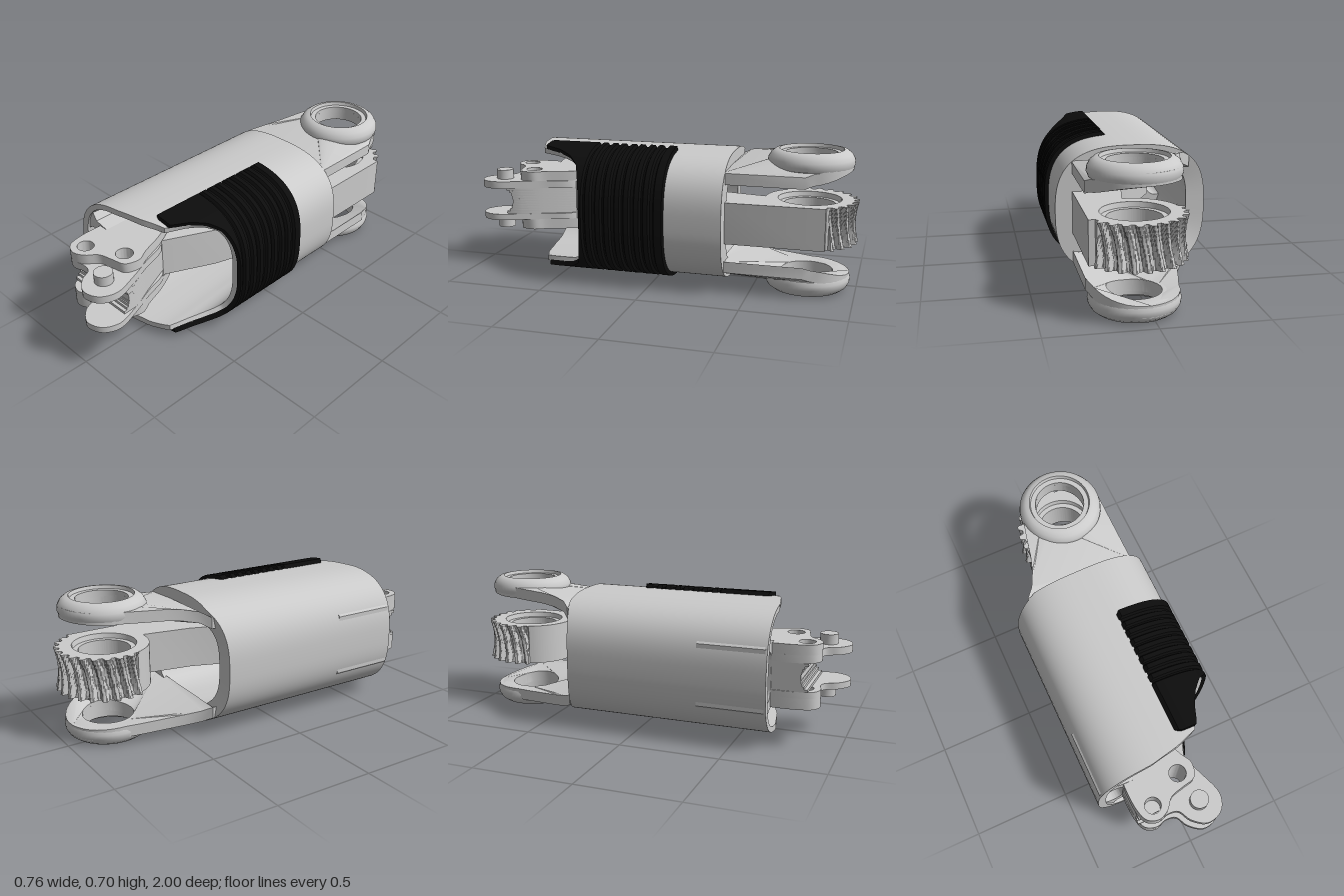
import * as THREE from 'three';
import { toCreasedNormals } from 'three/addons/utils/BufferGeometryUtils.js';

const CX = -0.01, CY = 0.352, A = 0.372, B = 0.317, N = 2.8; // shell cross-section
const HX = 0.06, HZ = -0.76, BORE = 0.125;                   // rear hinge axis
const grey = new THREE.MeshStandardMaterial({ color: 0xcccccc, side: THREE.DoubleSide });
const black = new THREE.MeshStandardMaterial({ color: 0x0c0c0c, side: THREE.DoubleSide });

function mesh(name, geometry, material = grey, crease = 0.6) {
  const m = new THREE.Mesh(toCreasedNormals(geometry, crease), material);
  m.name = name;
  return m;
}

// piecewise linear lookup
function lookup(table, x) {
  if (x <= table[0][0]) return table[0][1];
  for (let i = 1; i < table.length; i++) {
    const [x0, y0] = table[i - 1], [x1, y1] = table[i];
    if (x <= x1) return y0 + (y1 - y0) * (x - x0) / (x1 - x0);
  }
  return table[table.length - 1][1];
}

// skin over rows of [x, y, z] points
function skin(rows, closeU, closeV) {
  const nu = rows.length, nv = rows[0].length, index = [];
  for (let u = 0; u < nu - (closeU ? 0 : 1); u++)
    for (let v = 0; v < nv - (closeV ? 0 : 1); v++) {
      const u1 = (u + 1) % nu, v1 = (v + 1) % nv;
      const a = u * nv + v, b = u1 * nv + v, c = u1 * nv + v1, d = u * nv + v1;
      index.push(a, b, c, a, c, d);
    }
  const g = new THREE.BufferGeometry();
  g.setAttribute('position', new THREE.Float32BufferAttribute(rows.flat(2), 3));
  g.setIndex(index);
  return g;
}

// upright slab from an outline of (x, z) points, with round holes [x, z, r]
function slab(points, y0, y1, holes = []) {
  const shape = new THREE.Shape(points.map(p => new THREE.Vector2(p[0], p[1])));
  for (const [x, z, r] of holes) shape.holes.push(new THREE.Path().absarc(x, z, r, 0, Math.PI * 2, true));
  const g = new THREE.ExtrudeGeometry(shape, { depth: y1 - y0, bevelEnabled: false, curveSegments: 20 });
  return g.rotateX(Math.PI / 2).translate(0, y1, 0);
}

function smooth(points, n = 60) {
  return new THREE.CatmullRomCurve3(points.map(p => new THREE.Vector3(p[0], 0, p[1])), true, 'centripetal')
    .getPoints(n).slice(0, -1).map(p => [p.x, p.z]);
}

function oval(t, cx, a, b, n) {
  const c = Math.cos(t), s = Math.sin(t), e = 2 / n;
  return [cx + a * Math.sign(c) * Math.abs(c) ** e, CY + b * Math.sign(s) * Math.abs(s) ** e];
}

const frontEdge = x => lookup([[-0.39, 0.68], [-0.1, 0.67], [0.05, 0.64], [0.16, 0.6],
  [0.2, 0.49], [0.24, 0.42], [0.29, 0.365], [0.36, 0.33]], x);
const backEdge = x => lookup([[-0.385, -0.33], [-0.25, -0.375], [0.36, -0.38]], x);

// hollow sleeve whose bore narrows towards the back
function sleeve() {
  const rows = [], steps = 8;
  for (let i = 0; i < 112; i++) {
    const t = i / 112 * Math.PI * 2, row = [];
    const [x, y] = oval(t, CX, A, B, N), z0 = backEdge(x), z1 = frontEdge(x);
    for (let k = 0; k <= steps; k++) row.push([x, y, z0 + (z1 - z0) * k / steps]);
    for (let k = steps; k >= 0; k--) {
      const f = k / steps, right = 0.24 + 0.08 * f, left = -0.29 - 0.05 * f;
      const [ix, iy] = oval(t, (right + left) / 2, (right - left) / 2, 0.236 + 0.05 * f, 3.2);
      row.push([ix, iy, z0 + (z1 - z0) * f]);
    }
    rows.push(row);
  }
  return skin(rows, true, true);
}

// ribbed pad wrapped round the +x side
function gripPad() {
  const rows = [], cols = 80, steps = 90, t0 = 1.47;
  for (let i = 0; i <= cols; i++) {
    const t = -t0 + 2 * t0 * i / cols, row = [];
    const edge = i === 0 || i === cols, [x] = oval(t, CX, A, B, N);
    const d = Math.min(0.06, Math.max(0, x - 0.05));
    const cut = 0.06 - Math.sqrt(0.0036 - (0.06 - d) ** 2);
    const z1 = Math.min(0.585, frontEdge(x) + 0.004) - cut, z0 = -0.1 + cut;
    for (let k = 0; k <= steps; k++) {
      const z = Math.min(z1, Math.max(z0, -0.1 + 0.69 * k / steps));
      const groove = z > -0.06 && z < 0.34 && ((z + 1) / 0.05) % 1 < 0.4;
      const o = edge || k === 0 || k === steps ? -0.006 : groove ? 0.006 : 0.019;
      const [px, py] = oval(t, CX, A + o, B + o, N);
      row.push([px, py, z]);
    }
    rows.push(row);
  }
  return skin(rows, false, false);
}

// throated worm wheel, toothed on its free side only
function wormWheel() {
  const rows = [], n = 288, y0 = 0.25, y1 = 0.455;
  for (let i = 0; i < n; i++) {
    const t = i / n * Math.PI * 2, row = [];
    const toothed = t > 0.55 && t < 3.5;
    const put = (r, y) => row.push([HX + r * Math.cos(t), y, HZ - r * Math.sin(t)]);
    for (let k = 0; k <= 10; k++) {
      const s = k / 5 - 1;
      let r = 0.215;
      if (toothed) {
        const wave = Math.cos(24 * (t + 0.09 * s + 0.02 * s * s));
        r = 0.24 - 0.016 * (1 - s * s) - 0.026 * Math.min(1, Math.max(0, 0.5 - 0.9 * wave));
      }
      put(r, y0 + (y1 - y0) * k / 10);
    }
    for (const [r, y] of [[0.155, y1], [0.15, y1 - 0.025], [BORE, y1 - 0.025],
      [BORE, y0 + 0.025], [0.15, y0 + 0.025], [0.155, y0]]) put(r, y);
    rows.push(row);
  }
  return skin(rows, true, true);
}

// rear arm following the sleeve's curved top
function armPlate() {
  const pts = [[0.28, -0.36], [0.28, -0.76]];
  for (let i = 1; i <= 18; i++) {
    const t = i / 18 * Math.PI;
    pts.push([HX + 0.205 * Math.cos(t), HZ - 0.205 * Math.sin(t)]);
  }
  pts.push([-0.165, -0.68], [-0.19, -0.56], [-0.215, -0.48], [-0.25, -0.41], [-0.29, -0.37], [-0.29, -0.35], [-0.2, -0.36], [-0.1, -0.36]);
  const g = slab(pts, 0.612, 0.668, [[HX, HZ, BORE]]), p = g.attributes.position;
  for (let i = 0; i < p.count; i++) {
    const u = Math.min(1, Math.abs((p.getX(i) - CX) / A));
    p.setY(i, p.getY(i) - B * (1 - (1 - u ** N) ** (1 / N)));
  }
  return g;
}

function hingeRing() {
  const profile = [[BORE, 0.61], [0.185, 0.61], [0.203, 0.618], [0.211, 0.638], [0.208, 0.66], [0.195, 0.683],
    [0.175, 0.698], [0.155, 0.702], [0.15, 0.685], [BORE, 0.685], [BORE, 0.61]];
  return new THREE.LatheGeometry(profile.map(p => new THREE.Vector2(...p)), 56).translate(HX, 0, HZ);
}

export function createModel() {
  const root = new THREE.Group();
  root.name = 'fingerSegment';
  root.add(mesh('sleeve', sleeve()), mesh('gripPad', gripPad(), black), mesh('wormWheel', wormWheel(), grey, 0.5));

  // upper and lower rear arms with hinge rings
  for (const side of ['upper', 'lower']) {
    const arm = new THREE.Group();
    arm.name = side + 'Arm';
    for (const [name, g] of [['armPlate', armPlate()], ['hingeRing', hingeRing()]]) {
      if (side === 'lower') g.rotateZ(Math.PI).scale(1, 1, 1).translate(0, 2 * CY, 0);
      // a half turn about z also swaps x, so mirror it back and restore the winding
      if (side === 'lower') {
        const flat = g.index ? g.toNonIndexed() : g, p = flat.attributes.position;
        for (let i = 0; i < p.count; i += 3) {
          const v = [0, 2, 1].map(k => [-p.getX(i + k), p.getY(i + k), p.getZ(i + k)]);
          v.forEach((q, k) => p.setXYZ(i + k, ...q));
        }
        arm.add(mesh(name, flat));
      } else arm.add(mesh(name, g));
    }
    root.add(arm);
  }

  // link from the wheel through the sleeve to the front lug
  root.add(mesh('linkBar', slab([[0.28, -0.86], [0.28, -0.35], [0.235, -0.1], [0.12, 0.25], [0.0, 0.5], [-0.24, 0.5],
    [-0.24, 0.3], [-0.1, 0.05], [0.03, -0.3], [0.08, -0.58], [0.17, -0.6], [0.215, -0.66], [0.235, -0.76], [0.225, -0.86]], 0.25, 0.455)));

  // front wall joining the lug to the sleeve, with a rounded slot
  const wall = new THREE.Shape();
  [[-0.37, 0.2], [-0.3, 0.13], [-0.27, 0.18], [-0.17, 0.2], [-0.17, 0.505], [-0.27, 0.525], [-0.3, 0.575], [-0.37, 0.505]]
    .forEach((p, i) => i ? wall.lineTo(...p) : wall.moveTo(...p));
  const slot = new THREE.Path();
  slot.absarc(-0.295, 0.425, 0.05, 0, Math.PI, false);
  slot.absarc(-0.295, 0.28, 0.05, Math.PI, Math.PI * 2, false);
  wall.holes.push(slot);
  root.add(mesh('slottedWall', new THREE.ExtrudeGeometry(wall, { depth: 0.33, bevelEnabled: false }).translate(0, 0, 0.34)));

  // forked front lug
  const lug = new THREE.Group();
  lug.name = 'frontLug';
  const holes = [[0.015, 0.73, 0.042], [-0.16, 0.82, 0.04]];
  const block = smooth([[-0.24, 0.38], [-0.243, 0.6], [-0.24, 0.8], [-0.215, 0.87], [-0.16, 0.893], [-0.105, 0.87],
    [-0.06, 0.82], [0.01, 0.8], [0.08, 0.78], [0.1, 0.71], [0.07, 0.65], [0.01, 0.5], [-0.08, 0.38]]);
  const prong = smooth([[-0.24, 0.45], [-0.243, 0.6], [-0.24, 0.8], [-0.215, 0.87], [-0.16, 0.893], [-0.105, 0.88],
    [-0.055, 0.89], [-0.02, 0.95], [0.05, 0.998], [0.13, 0.975], [0.165, 0.9], [0.13, 0.78], [0.08, 0.66], [0.01, 0.5]]);
  for (const [y0, y1, pin0, pin1] of [[0.195, 0.25, 0.195, 0.26], [0.46, 0.51, 0.45, 0.51]]) {
    lug.add(mesh('lugBlock', slab(block, y0, y1, holes)));
    lug.add(mesh('lugPin', new THREE.CylinderGeometry(0.045, 0.045, pin1 - pin0, 24).translate(0.055, (pin0 + pin1) / 2, 0.885)));
  }
  lug.add(mesh('lowerProng', slab(prong, 0.25, 0.282, holes)), mesh('upperProng', slab(prong, 0.422, 0.46, holes)));
  // hollowed core between the prongs
  const layers = 10;
  for (let i = 0; i < layers; i++) {
    const t = (i + 0.5) / layers * 2 - 1, z = 0.81 + 0.06 * (1 - Math.sqrt(1 - t * t));
    const y = 0.282 + 0.14 * i / layers;
    lug.add(mesh('lugCore', slab([[-0.24, 0.4], [-0.24, z], [0.13, z], [0.125, 0.76], [0.07, 0.65], [0, 0.49], [-0.08, 0.4]],
      y, y + 0.14 / layers, [holes[0]])));
  }
  root.add(lug);
  return root;
}
